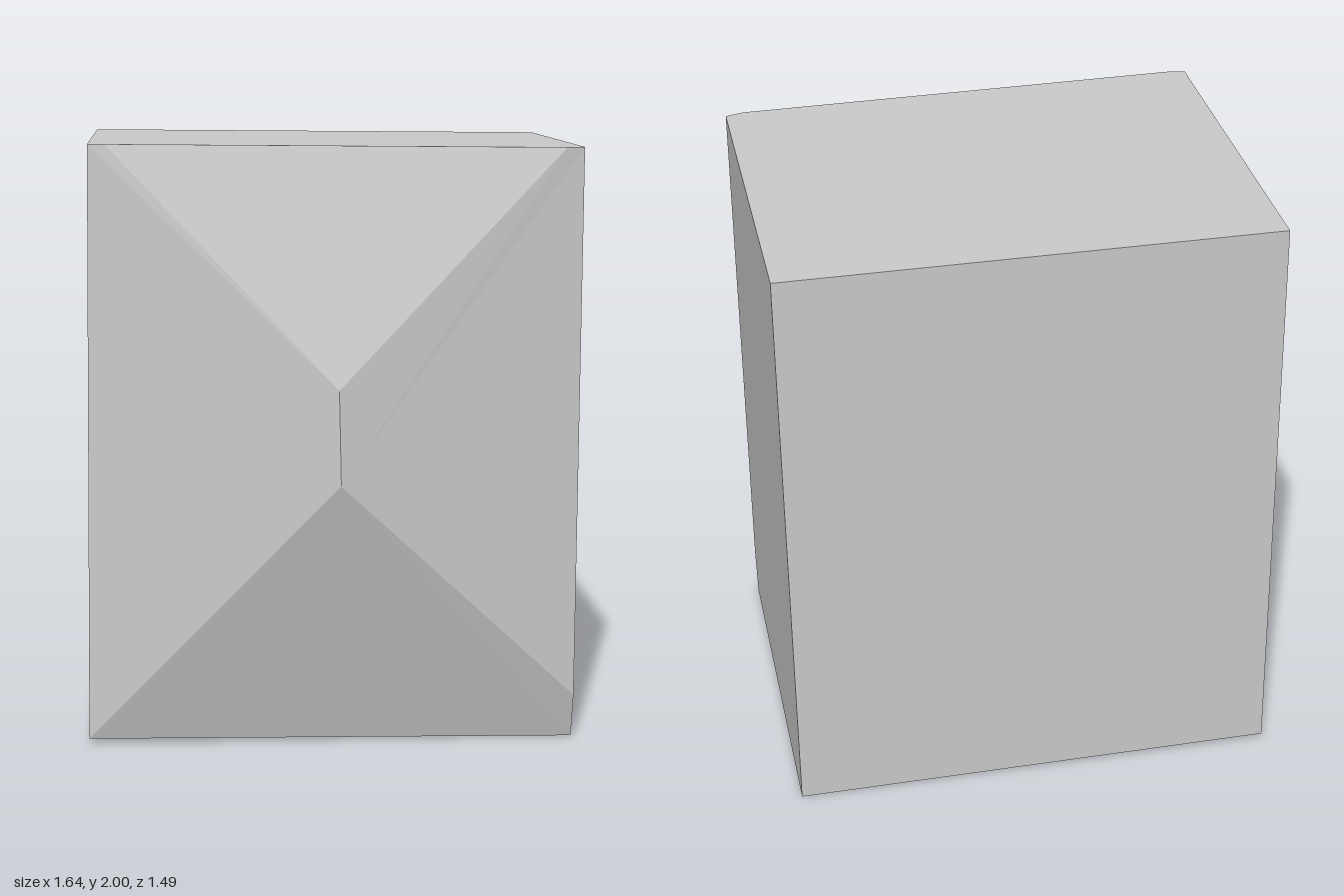
import * as THREE from 'three';

// Corner points of the crystal, by position
const B = -0.742;
const P = {
  backTL: [-0.805, 2, B], backTR: [0.82, 1.985, B], backBR: [0.80, 0, B], backBL: [-0.825, 0.02, B],
  topL: [-0.805, 2, 0.515], topA: [-0.75, 2, 0.525], topB: [0.76, 1.985, 0.507], topR: [0.82, 1.985, 0.487],
  sideR: [0.802, 0.15, 0.533], botR: [0.80, 0, 0.497], botL: [-0.825, 0.02, 0.51],
  ridgeTop: [-0.003, 1.22, 0.74], ridgeBot: [0.003, 0.91, 0.744],
};

// Flat facets, each a counter-clockwise loop of corner names, split as a fan
function facets(name, loops, material) {
  const pos = [];
  for (const loop of loops) {
    for (let i = 1; i < loop.length - 1; i++) {
      pos.push(...P[loop[0]], ...P[loop[i]], ...P[loop[i + 1]]);
    }
  }
  const geo = new THREE.BufferGeometry();
  geo.setAttribute('position', new THREE.Float32BufferAttribute(pos, 3));
  geo.computeVertexNormals();
  const mesh = new THREE.Mesh(geo, material);
  mesh.name = name;
  return mesh;
}

export function createModel() {
  const group = new THREE.Group();
  group.name = 'crystal';
  const material = new THREE.MeshStandardMaterial({ color: 0xcccccc, flatShading: true });

  // Slightly tilted rectangular prism: back, top, right, bottom and left
  group.add(facets('prismBody', [
    ['backTL', 'backTR', 'backBR', 'backBL'],
    ['topB', 'topR', 'backTR', 'backTL', 'topL', 'topA'],
    ['topR', 'sideR', 'botR', 'backBR', 'backTR'],
    ['backBL', 'backBR', 'botR', 'botL'],
    ['botL', 'topL', 'backTL', 'backBL'],
  ], material));

  // Four sloping facets meeting in a short upright ridge
  group.add(facets('facetedFront', [
    ['ridgeTop', 'topB', 'topA'],
    ['ridgeBot', 'sideR', 'topR', 'topB', 'ridgeTop'],
    ['ridgeBot', 'botL', 'botR', 'sideR'],
    ['ridgeTop', 'topA', 'topL', 'botL', 'ridgeBot'],
  ], material));

  return group;
}
